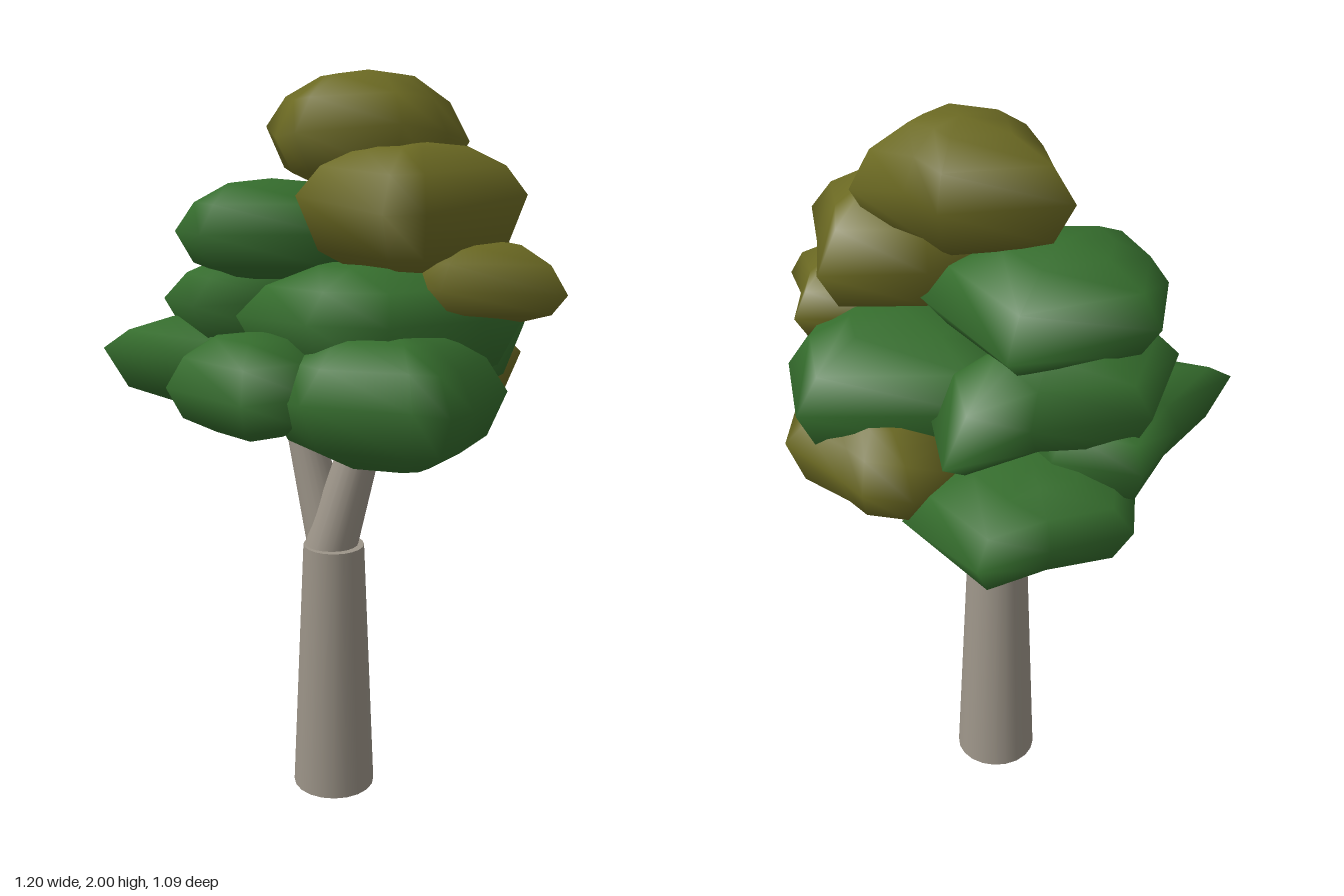
import * as THREE from 'three';
import { mergeVertices } from 'three/addons/utils/BufferGeometryUtils.js';

const material = (name, color) => {
  const m = new THREE.MeshStandardMaterial({ color });
  m.name = name;
  return m;
};

// Tapered limb running from one point to another
function limb(name, from, to, r0, r1, mat) {
  const a = new THREE.Vector3(...from), b = new THREE.Vector3(...to);
  const dir = b.clone().sub(a);
  const mesh = new THREE.Mesh(new THREE.CylinderGeometry(r1, r0, dir.length(), 20), mat);
  mesh.position.copy(a).add(b).multiplyScalar(0.5);
  mesh.quaternion.setFromUnitVectors(new THREE.Vector3(0, 1, 0), dir.normalize());
  mesh.name = name;
  return mesh;
}

// Rings of a leaf clump: scale of the outline, and height from rim (0) to top (1) or bottom (-1)
const RINGS = [[0, -1], [0.45, -0.94], [0.82, -0.64], [1, 0], [0.8, 0.55], [0.45, 0.91], [0, 1]];

// Flattened leaf clump from an angular outline of [x, z] corners, each with its own rim height if given
function clump(name, bottom, rim, top, outline, mat) {
  const n = outline.length;
  const cx = outline.reduce((s, p) => s + p[0], 0) / n;
  const cz = outline.reduce((s, p) => s + p[1], 0) / n;
  const pos = [], index = [];
  RINGS.forEach(([s, t], j) => outline.forEach(([x, z, y0 = rim], i) => {
    const y = t < 0 ? y0 + (y0 - bottom) * t : y0 + (top - y0) * t;
    pos.push(cx + (x - cx) * s, y, cz + (z - cz) * s);
    if (j === RINGS.length - 1) return;
    const a = j * n + i, b = j * n + (i + 1) % n;
    if (j < RINGS.length - 2) index.push(a, a + n, b + n);
    if (j > 0) index.push(a, b + n, b);
  }));
  let geo = new THREE.BufferGeometry();
  geo.setAttribute('position', new THREE.Float32BufferAttribute(pos, 3));
  geo.setIndex(index);
  geo = mergeVertices(geo);
  geo.computeVertexNormals();
  const mesh = new THREE.Mesh(geo, mat);
  mesh.name = name;
  return mesh;
}

export function createModel() {
  const bark = material('bark', 0x9c9488);
  const green = material('leafGreen', 0x356d2d);
  const olive = material('leafOlive', 0x6c6a23);
  const tree = new THREE.Group();
  tree.name = 'tree';

  // Trunk and its fork
  tree.add(
    limb('trunk', [-0.055, 0.007, -0.001], [-0.017, 0.735, 0.026], 0.115, 0.084, bark),
    limb('rightFork', [-0.033, 0.7, 0.032], [0.088, 1.25, -0.067], 0.073, 0.045, bark),
    limb('leftFork', [-0.045, 0.7, 0.004], [-0.153, 1.22, 0.08], 0.071, 0.035, bark),
  );

  // Olive clumps: crown, shoulder, side and back
  tree.add(
    clump('crownClump', 1.69, 1.86, 2.0, [[0.27, 0.03], [0.06, 0.2, 1.84], [-0.1, 0.15, 1.83],
      [-0.275, 0.06], [-0.15, -0.23], [0, -0.23], [0.17, -0.28, 1.82], [0.22, -0.16, 1.84]], olive),
    clump('shoulderClump', 1.48, 1.65, 1.82, [[0.41, 0.07], [0.37, 0.17], [0.11, 0.235, 1.69],
      [0, 0.14], [-0.02, -0.18], [0.13, -0.4, 1.64], [0.28, -0.32], [0.4, -0.27, 1.69]], olive),
    clump('sideClump', 1.37, 1.47, 1.58, [[0.54, -0.28, 1.45], [0.42, 0.03], [0.22, 0.03],
      [0.12, -0.2], [0.26, -0.41], [0.38, -0.33]], olive),
    clump('backClump', 1.08, 1.2, 1.34, [[0.23, -0.43, 1.26], [0.2, -0.12], [-0.05, -0.08, 1.16],
      [-0.22, -0.22], [-0.26, -0.38], [-0.17, -0.47], [-0.08, -0.48], [0.07, -0.55, 1.25]], olive),
  );

  // Green clumps: upper layer, middle layer, lower layer
  tree.add(
    clump('upperLeftClump', 1.46, 1.59, 1.725, [[0.1, 0.1], [-0.09, 0.39], [-0.28, 0.35],
      [-0.46, 0.18], [-0.34, -0.17, 1.55], [0.02, -0.18, 1.57]], green),
    clump('middleBackClump', 1.16, 1.37, 1.51, [[0.42, -0.25], [0.38, 0], [0.1, 0.08], [-0.18, 0.02],
      [-0.26, -0.16], [-0.01, -0.55], [0.23, -0.45]], green),
    clump('middleRightClump', 1.2, 1.39, 1.53, [[0.43, -0.1], [0.41, 0.18], [0.24, 0.3], [-0.02, 0.33],
      [-0.13, 0.15], [-0.05, -0.15], [0.3, -0.3], [0.43, -0.24]], green),
    clump('middleLeftClump', 1.25, 1.41, 1.53, [[-0.06, 0.1], [-0.11, 0.4], [-0.33, 0.36],
      [-0.52, 0.12, 1.4], [-0.37, -0.12, 1.37], [-0.33, -0.34, 1.32], [-0.14, -0.26, 1.36]], green),
    clump('lowerLeftFrontClump', 1.12, 1.25, 1.37, [[-0.04, 0.15], [-0.08, 0.39], [-0.34, 0.54, 1.29],
      [-0.42, 0.3], [-0.57, 0.06, 1.29], [-0.36, -0.05], [-0.12, -0.04]], green),
    clump('lowerLeftBackClump', 1.01, 1.14, 1.25, [[-0.03, -0.1], [-0.1, 0.14], [-0.36, 0.22],
      [-0.6, 0.02, 1.16], [-0.53, -0.17], [-0.52, -0.37, 1.16], [-0.2, -0.38, 1.11]], green),
    clump('lowerFrontClump', 1.1, 1.22, 1.36, [[0.27, 0.3], [0.27, 0.505], [-0.06, 0.515],
      [-0.125, 0.46], [-0.12, 0.27], [0.05, 0.12], [0.22, 0.15]], green),
    clump('lowerRightClump', 1.04, 1.2, 1.37, [[0.57, 0.05], [0.6, 0.15], [0.57, 0.24, 1.22],
      [0.34, 0.39, 1.22], [0.12, 0.34], [0.03, 0.08], [0.18, -0.16, 1.22], [0.45, -0.17, 1.21]], green),
  );
  return tree;
}
